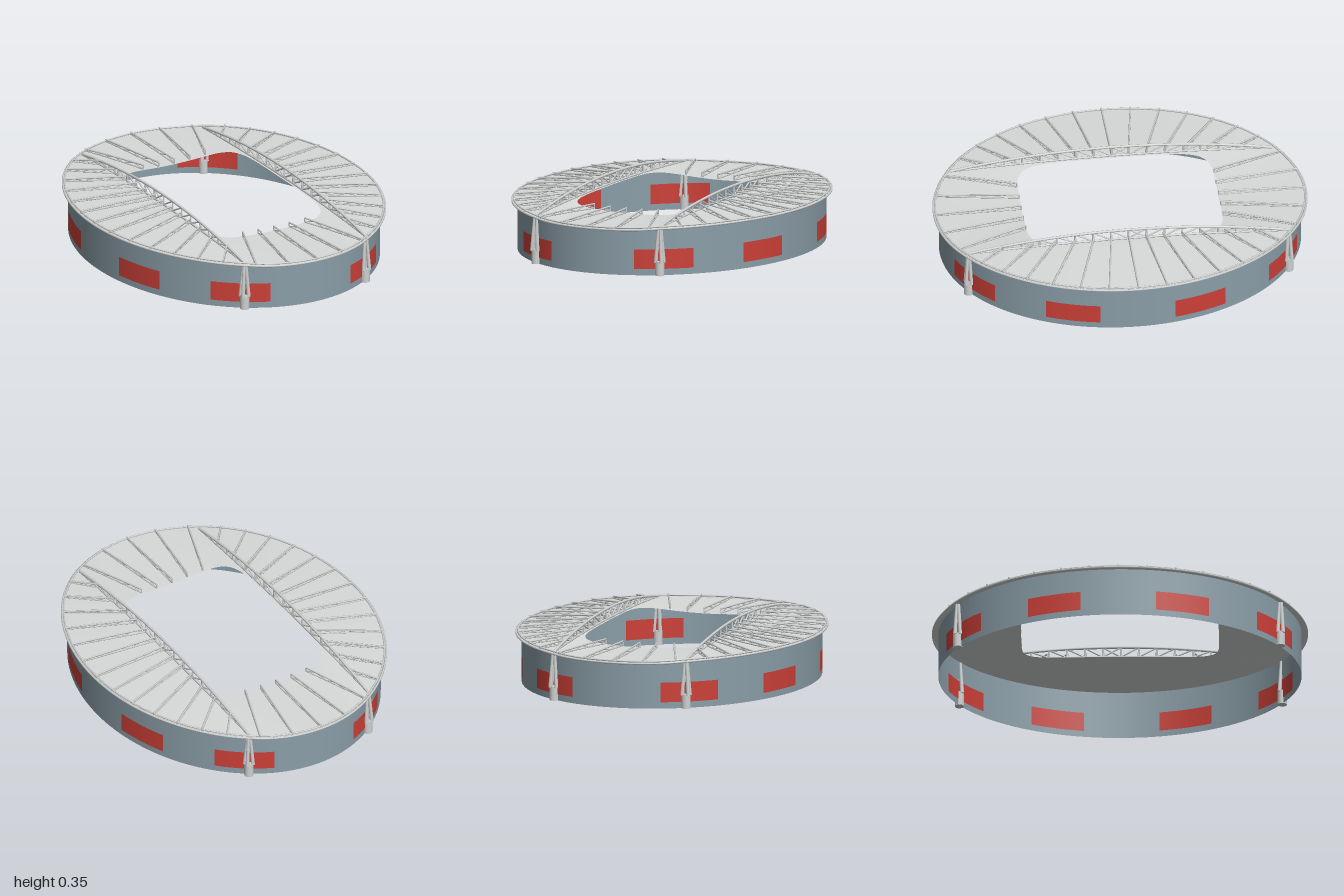
import * as THREE from 'three';
import { mergeGeometries } from 'three/addons/utils/BufferGeometryUtils.js';

const V = (x, y, z) => new THREE.Vector3(x, y, z);
const RAD = Math.PI / 180;
const WALL = { a: 0.777, b: 0.965 };
const RIM = { a: 0.802, b: 0.991 };
const HOLE = { a: 0.357, b: 0.525 };
const TRUSS_X = 0.37, TRUSS_Z = 0.86;

// Roof height: low at both ends, rising towards the two main trusses
function roofY(x, z) {
  const ax = Math.abs(x);
  const f = ax < TRUSS_X ? (ax / TRUSS_X) ** 2 : 1 - 0.5 * (ax - TRUSS_X) / (0.8 - TRUSS_X);
  return 0.247 + 0.035 * Math.max(0, 1 - z * z) * f;
}

// Straight round bar between two points
function rod(p, q, r, r2 = r, sides = 6) {
  const d = q.clone().sub(p);
  const g = new THREE.CylinderGeometry(r2, r, d.length(), sides);
  g.applyQuaternion(new THREE.Quaternion().setFromUnitVectors(V(0, 1, 0), d.normalize()));
  return g.translate((p.x + q.x) / 2, (p.y + q.y) / 2, (p.z + q.z) / 2);
}

// Upright elliptical band between two angles measured from +x towards +z
function band(t0, t1, y0, y1, grow, segments) {
  const g = new THREE.CylinderGeometry(1, 1, y1 - y0, segments, 1, true, (90 - t1) * RAD, (t1 - t0) * RAD);
  return g.scale(WALL.a + grow, 1, WALL.b + grow).translate(0, (y0 + y1) / 2, 0);
}

// Roof sheet lofted from the rim ellipse to the rounded opening
function roofSheet() {
  const n = 128, rings = 12, pos = [], idx = [];
  for (let j = 0; j <= rings; j++) {
    for (let i = 0; i <= n; i++) {
      const t = i / n * Math.PI * 2, c = Math.cos(t), s = Math.sin(t), k = j / rings;
      const h = 1 / (Math.abs(c) ** 6.5 + Math.abs(s) ** 6.5) ** (1 / 6.5);
      const x = THREE.MathUtils.lerp(RIM.a * c, HOLE.a * c * h, k);
      const z = THREE.MathUtils.lerp(RIM.b * s, HOLE.b * s * h, k);
      pos.push(x, roofY(x, z), z);
      if (j < rings && i < n) {
        const a = j * (n + 1) + i, b = a + n + 1;
        idx.push(a, b, a + 1, a + 1, b, b + 1);
      }
    }
  }
  const g = new THREE.BufferGeometry();
  g.setAttribute('position', new THREE.Float32BufferAttribute(pos, 3));
  g.setIndex(idx);
  g.computeVertexNormals();
  return g;
}

// Rim tube that follows the edge of the roof
function rimTube(inset, lift, r) {
  const pts = [];
  for (let i = 0; i < 64; i++) {
    const t = i / 64 * Math.PI * 2;
    const x = (RIM.a - inset) * Math.cos(t), z = (RIM.b - inset) * Math.sin(t);
    pts.push(V(x, roofY(x, z) + lift, z));
  }
  return new THREE.TubeGeometry(new THREE.CatmullRomCurve3(pts, true), 128, r, 6, true);
}

// Wedge-shaped radial truss resting on the roof, deepest at its inner end
function radialTruss(x0, z0, x1, z1) {
  const n = 6, parts = [], low = [], high = [];
  for (let i = 0; i <= n; i++) {
    const k = i / n;
    const x = THREE.MathUtils.lerp(x0, x1, k), z = THREE.MathUtils.lerp(z0, z1, k);
    const y = roofY(x, z) + 0.005;
    low.push(V(x, y, z));
    high.push(V(x, y + 0.009 + 0.014 * k, z));
  }
  for (let i = 0; i < n; i++) {
    parts.push(rod(low[i], low[i + 1], 0.004, 0.004, 5), rod(high[i], high[i + 1], 0.005, 0.005, 5));
    parts.push(i % 2 ? rod(high[i], low[i + 1], 0.0035, 0.0035, 4) : rod(low[i], high[i + 1], 0.0035, 0.0035, 4));
  }
  parts.push(rod(low[n], high[n], 0.004, 0.004, 5));
  return parts;
}

// Long arched truss along one side of the opening
function mainTruss(x) {
  const n = 18, parts = [], low = [], high = [];
  for (let i = 0; i <= n; i++) {
    const z = -TRUSS_Z + 2 * TRUSS_Z * i / n;
    low.push(V(x, roofY(x, z) + 0.003, z));
    high.push(V(x, 0.26 + 0.08 * (1 - (z / TRUSS_Z) ** 2), z));
  }
  for (const [pts, r] of [[low, 0.006], [high, 0.007]]) {
    parts.push(new THREE.TubeGeometry(new THREE.CatmullRomCurve3(pts), 48, r, 8));
  }
  for (let i = 0; i <= n; i++) parts.push(rod(low[i], high[i], 0.005));
  for (let i = 1; i < n; i++) {
    const towardsMiddle = i < n / 2 ? i + 1 : i - 1;
    parts.push(rod(high[i], low[towardsMiddle], 0.0045));
  }
  return parts;
}

export function createModel() {
  const model = new THREE.Group();
  model.name = 'stadium';
  const material = (name, color, side = THREE.FrontSide) => {
    const m = new THREE.MeshStandardMaterial({ color, side });
    m.name = name;
    return m;
  };
  const wallBlue = material('wall blue grey', 0x8b9ea8, THREE.DoubleSide);
  const panelRed = material('panel red', 0xcc4038, THREE.DoubleSide);
  const roofGrey = material('roof light grey', 0xd8dada, THREE.DoubleSide);
  const steel = material('steel light grey', 0xd0d2d2);
  const add = (name, geometry, mat) => {
    const mesh = new THREE.Mesh(geometry, mat);
    mesh.name = name;
    model.add(mesh);
  };

  // Wall, its top edge meeting the roof
  const wall = band(0, 360, 0, 0.25, 0, 128);
  const p = wall.attributes.position;
  for (let i = 0; i < p.count; i++) {
    if (p.getY(i) > 0.1) p.setY(i, roofY(p.getX(i), p.getZ(i)) - 0.001);
  }
  add('outerWall', wall, wallBlue);

  // Red panels on both faces of the wall, mirrored to four quarters
  const panels = [];
  for (const [t0, t1] of [[12, 29.8], [49.3, 71.6]]) {
    for (const [u0, u1] of [[t0, t1], [180 - t1, 180 - t0], [180 + t0, 180 + t1], [360 - t1, 360 - t0]]) {
      for (const grow of [0.0015, -0.0015]) panels.push(band(u0, u1, 0.034, 0.14, grow, 12));
    }
  }
  add('wallPanels', mergeGeometries(panels), panelRed);

  // Roof and rim
  add('roof', roofSheet(), roofGrey);
  add('roofRim', mergeGeometries([rimTube(-0.003, 0, 0.006), rimTube(0.006, 0.01, 0.005)]), steel);

  // Radial trusses: fans on the long sides, tapering sets at both ends
  const radials = [];
  for (const s of [-1, 1]) {
    for (let i = -6; i <= 6; i++) {
      const t = i * 9 * RAD, x = RIM.a * Math.cos(t), z = RIM.b * Math.sin(t);
      radials.push(...radialTruss(s * x, z, s * TRUSS_X, z - (x - TRUSS_X) * Math.tan(t) * 0.95));
    }
    for (let i = -2; i <= 2; i++) {
      const x = i * 0.164, z = RIM.b * Math.sqrt(1 - (x / RIM.a) ** 2);
      radials.push(...radialTruss(x, s * z, x * 0.58, s * (HOLE.b + 0.003)));
    }
  }
  add('radialTrusses', mergeGeometries(radials), steel);

  // Main trusses and the four support towers
  for (const sx of [-1, 1]) {
    const side = sx > 0 ? 'left' : 'right';
    const x = sx * TRUSS_X;
    add(side + 'MainTruss', mergeGeometries(mainTruss(x)), steel);
    for (const sz of [-1, 1]) {
      const z = sz * 0.857;
      const parts = [rod(V(x, 0, z), V(x, 0.078, z), 0.025, 0.025, 12)];
      for (const dx of [-1, 1]) {
        for (const dz of [-1, 1]) {
          parts.push(rod(V(x + dx * 0.017, 0.07, z + dz * 0.014), V(x + dx * 0.006, 0.25, z + dz * 0.005), 0.011, 0.008, 8));
        }
      }
      add(side + (sz > 0 ? 'Front' : 'Back') + 'Tower', mergeGeometries(parts), steel);
    }
  }
  return model;
}
